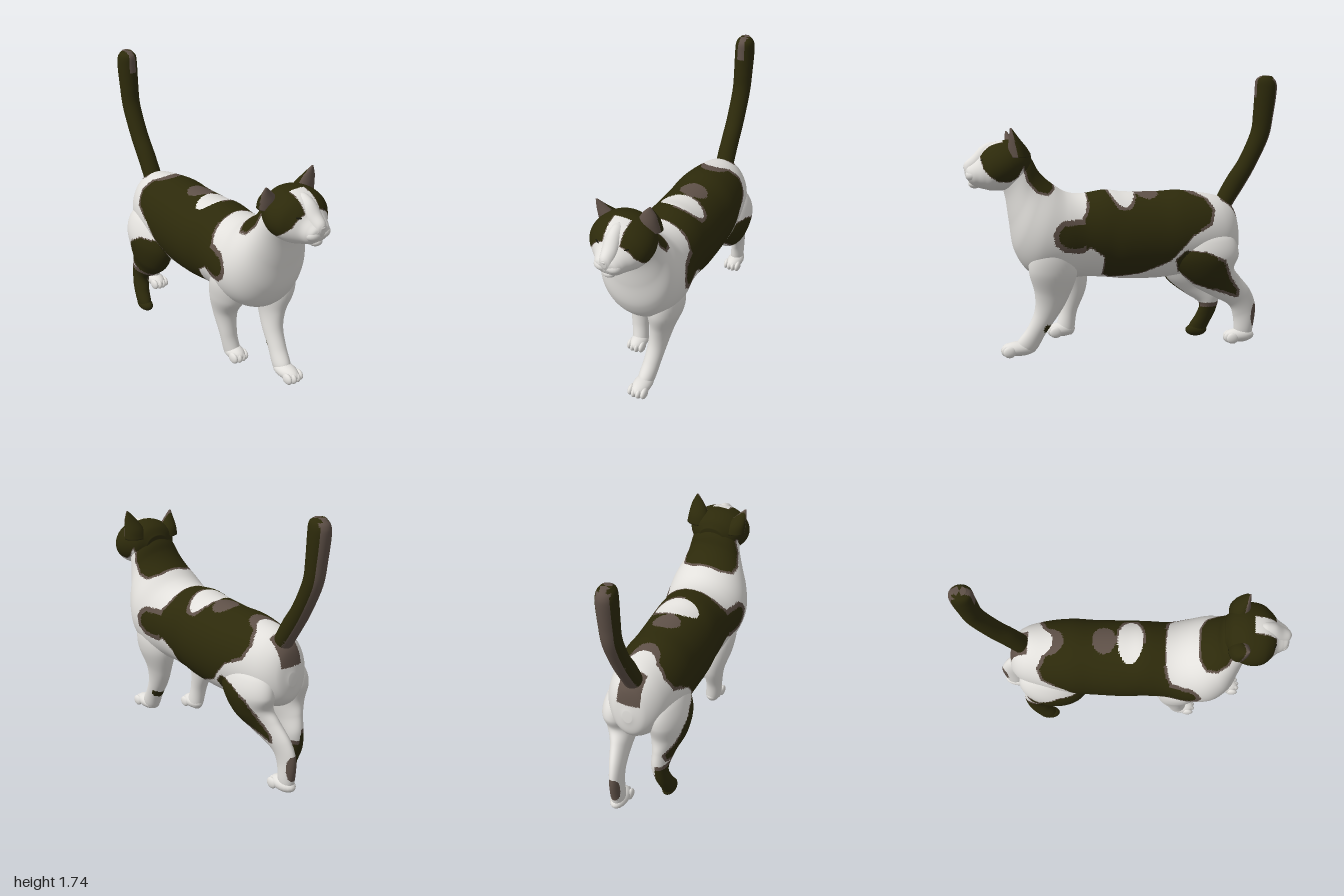
import * as THREE from 'three';

const WHITE = 0, BROWN = 1, DARK = 2;

// Fur patches as side outlines [z, y]
const saddle = [[.485, .8], [.465, .85], [.42, .885], [.3, .885], [.27, .93], [.25, 1.0], [.24, 1.12], [-.38, 1.12], [-.52, .98], [-.56, .91],
  [-.53, .82], [-.4, .76], [-.33, .68], [-.26, .6], [-.08, .52], [.11, .49], [.165, .52], [.165, .65], [.25, .71], [.3, .68], [.41, .69], [.47, .74]];
const leftThigh = [[-.29, .61], [-.35, .67], [-.48, .66], [-.61, .6], [-.67, .47], [-.735, .38], [-.73, .32], [-.61, .37], [-.42, .44], [-.32, .52]];
const rightThigh = [[-.22, .6], [-.3, .65], [-.43, .64], [-.54, .57], [-.6, .46], [-.66, .4], [-.64, .34], [-.52, .3], [-.38, .33], [-.24, .46]];
const mask = [[.885, 1.2], [.9, 1.27], [.9, 1.42], [.55, 1.45], [.62, 1.25], [.66, 1.19], [.68, 1.15], [.73, 1.12], [.8, 1.125], [.85, 1.16]];
const nape = [[.77, 1.42], [.6, 1.42], [.44, 1.14], [.45, 1.06], [.5, 1.03], [.57, 1.05], [.63, 1.12], [.65, 1.2], [.68, 1.27]];

// Signed distance to an outline, positive inside
function depth(poly, z, y) {
  let inside = false, best = Infinity;
  poly.forEach(([az, ay], i) => {
    const [bz, by] = poly[(i + 1) % poly.length];
    if ((ay > y) !== (by > y) && z < (bz - az) * (y - ay) / (by - ay) + az) inside = !inside;
    const t = THREE.MathUtils.clamp(((z - az) * (bz - az) + (y - ay) * (by - ay)) / ((bz - az) ** 2 + (by - ay) ** 2), 0, 1);
    best = Math.min(best, Math.hypot(az + t * (bz - az) - z, ay + t * (by - ay) - y));
  });
  return inside ? best : -best;
}
const rimmed = (d, rim) => d > rim ? DARK : d > 0 ? BROWN : WHITE;
const oval = (a, b, ca, cb, ra, rb) => Math.hypot((a - ca) / ra, (b - cb) / rb);

function coat(x, y, z) {
  if (z < -0.2 && y < 0.74 && Math.abs(x) > 0.13) {
    const c = rimmed(depth(x > 0 ? leftThigh : rightThigh, z, y), z < -0.55 ? 0.018 : 0.007);
    if (c) return c;
  }
  // rump below the tail
  if (z < -0.62 && y > 0.8 && Math.abs(x) < 0.075) return BROWN;
  if (y > 0.93) {
    // pale spot and brown marks along the spine
    const spot = oval(x, z, 0.02, 0.025, 0.145, 0.08);
    if (spot < 1) return WHITE;
    if ((spot < 1.18 && x > 0) || oval(x, z, 0.02, -0.14, 0.09, 0.075) < 1) return BROWN;
    if (z < -0.3 && oval(x, z, 0, -0.58, 0.1, 0.12) < 1) return WHITE;
    if (z < -0.3 && oval(x, z, 0, -0.5, 0.09, 0.11) < 1) return BROWN;
  }
  const rim = z > 0.28 ? 0.032 : z < -0.45 ? 0.02 : y > 0.85 && z > 0.1 && Math.abs(x) > 0.12 ? 0.018 : 0.007;
  return Math.max(rimmed(depth(saddle, z, y), rim), rimmed(depth(nape, z, y), 0.014));
}

function headCoat(x, y, z) {
  const blaze = y > 1.24 ? 0.053 : 0.053 + (1.24 - y) * 0.65;
  const d = Math.min(depth(mask, z, y), z < 0.76 && y > 1.25 ? 1 : Math.abs(x - 0.027) - blaze);
  return Math.max(rimmed(d, 0.004), rimmed(depth(nape, z, y), 0.01));
}

// Loft through sections [z1, y1, z2, y2, x, halfWidth], closed at both ends
function loft(sections, rings, sides) {
  const curve = f => new THREE.CatmullRomCurve3(sections.map(f), false, 'catmullrom', 0.5);
  const one = curve(s => new THREE.Vector3(0, s[1], s[0]));
  const two = curve(s => new THREE.Vector3(0, s[3], s[2]));
  const wide = curve(s => new THREE.Vector3(s[4], s[5], 0));
  const pos = [], index = [];
  for (let i = -1; i <= rings + 1; i++) {
    const t = THREE.MathUtils.clamp(i / rings, 0, 1), cap = i < 0 || i > rings ? 0 : 1;
    const a = one.getPoint(t), b = two.getPoint(t), w = wide.getPoint(t);
    for (let j = 0; j < sides; j++) {
      const q = j / sides * Math.PI * 2, s = Math.sin(q) * cap / 2;
      pos.push(w.x + Math.cos(q) * Math.max(w.y, 0.002) * cap, (a.y + b.y) / 2 + (a.y - b.y) * s, (a.z + b.z) / 2 + (a.z - b.z) * s);
    }
  }
  for (let i = 0; i < rings + 2; i++) for (let j = 0; j < sides; j++) {
    const k = (j + 1) % sides, p = i * sides, n = p + sides;
    if (i > 0) index.push(p + j, p + k, n + j);
    if (i < rings + 1) index.push(p + k, n + k, n + j);
  }
  const g = new THREE.BufferGeometry();
  g.setAttribute('position', new THREE.Float32BufferAttribute(pos, 3));
  g.setIndex(index);
  g.computeVertexNormals();
  return g;
}

// Sort faces into one material group per fur colour
function paint(g, rule) {
  const p = g.attributes.position, ix = g.index.array, lists = [[], [], []];
  for (let i = 0; i < ix.length; i += 3) {
    const f = [ix[i], ix[i + 1], ix[i + 2]];
    const mid = get => f.reduce((s, v) => s + get.call(p, v), 0) / 3;
    lists[rule(mid(p.getX), mid(p.getY), mid(p.getZ))].push(...f);
  }
  g.setIndex(lists.flat());
  let start = 0;
  lists.forEach((l, m) => { if (l.length) g.addGroup(start, l.length, m); start += l.length; });
  return g;
}

export function createModel() {
  const cat = new THREE.Group();
  cat.name = 'cat';
  const mat = (name, color) => { const m = new THREE.MeshStandardMaterial({ color }); m.name = name; return m; };
  const fur = [mat('white fur', 0xe2e0dc), mat('brown fur', 0x5f5148), mat('dark fur', 0x2d2a0b)];
  const eyeMat = mat('eye', 0x17160a);
  const add = (name, geo, material) => {
    const m = new THREE.Mesh(geo, material);
    m.name = name;
    cat.add(m);
    return m;
  };
  const part = (name, sections, rings, sides, rule) => add(name, paint(loft(sections, rings, sides), rule), fur);
  const ball = (name, x, y, z, rx, ry, rz, material) => {
    const m = add(name, new THREE.SphereGeometry(1, 20, 14), material);
    m.position.set(x, y, z);
    m.scale.set(rx, ry, rz);
    return m;
  };

  // Torso and neck, rump to nape
  part('body', [
    [-.75, .76, -.755, .68, 0, .03], [-.715, .9, -.735, .58, 0, .11], [-.63, .97, -.66, .52, 0, .175],
    [-.5, 1.0, -.51, .5, 0, .215], [-.35, 1.02, -.35, .475, 0, .235], [-.2, 1.015, -.2, .46, 0, .236],
    [0, 1.02, 0, .465, 0, .24], [.12, 1.035, .13, .48, 0, .235], [.27, 1.015, .27, .49, 0, .24],
    [.37, 1.03, .44, .48, 0, .265], [.45, 1.08, .6, .53, .003, .268], [.51, 1.13, .695, .67, .006, .235],
    [.55, 1.18, .725, .85, .01, .195], [.58, 1.24, .745, 1.0, .017, .168], [.64, 1.31, .77, 1.09, .022, .15]], 210, 140, coat);

  // Head and muzzle
  part('head', [
    [.59, 1.28, .6, 1.16, .025, .08], [.63, 1.335, .635, 1.1, .025, .145], [.7, 1.362, .705, 1.065, .025, .187],
    [.77, 1.358, .77, 1.055, .025, .197], [.83, 1.342, .83, 1.055, .025, .18], [.875, 1.31, .875, 1.065, .027, .142],
    [.91, 1.262, .91, 1.075, .03, .108], [.945, 1.232, .94, 1.085, .03, .088], [.975, 1.21, .965, 1.11, .03, .068],
    [.987, 1.19, .98, 1.14, .03, .035]], 100, 110, headCoat);
  // Brow and bridge of the nose
  part('noseBridge', [[.8, 1.352, .8, 1.2, .027, .05], [.84, 1.349, .84, 1.18, .027, .053], [.89, 1.325, .89, 1.16, .028, .052],
    [.94, 1.272, .94, 1.15, .03, .046], [.98, 1.238, .975, 1.14, .03, .036], [.995, 1.215, .99, 1.165, .03, .016]], 40, 28, () => WHITE);
  for (const s of [-1, 1]) {
    ball('whiskerPad', .03 + s * .034, 1.155, .942, .052, .038, .046, fur[WHITE]);
    ball('eye', .027 + s * .09, 1.25, .883, .026, .009, .012, eyeMat).rotation.set(0, s * .6, s * .2);
  }
  ball('nose', .03, 1.203, .98, .022, .014, .018, fur[WHITE]);
  ball('chin', .03, 1.1, .93, .042, .03, .04, fur[WHITE]);

  // Ears, brown inside and dark behind
  const earFur = (x, y, z) => z > 0.715 - (1.445 - y) * 0.2 ? BROWN : DARK;
  part('leftEar', [[.61, 1.27, .73, 1.27, .145, .08], [.63, 1.33, .735, 1.33, .152, .066],
    [.675, 1.39, .73, 1.39, .165, .042], [.715, 1.445, .725, 1.445, .177, .006]], 24, 32, earFur);
  part('rightEar', [[.61, 1.25, .73, 1.25, -.1, .075], [.63, 1.3, .735, 1.3, -.115, .061],
    [.675, 1.35, .73, 1.35, -.138, .036], [.715, 1.4, .725, 1.4, -.162, .006]], 24, 32, earFur);

  // Tail with a brown stripe along the rear
  const tail = [[-.68, .85, -.6, .9, 0, .06], [-.725, .93, -.61, .96, 0, .06], [-.79, 1.03, -.68, 1.09, 0, .058],
    [-.86, 1.15, -.76, 1.21, 0, .058], [-.95, 1.34, -.835, 1.38, 0, .058], [-.98, 1.49, -.85, 1.5, 0, .06],
    [-1.0, 1.64, -.857, 1.64, 0, .062], [-.995, 1.7, -.862, 1.71, 0, .055], [-.965, 1.738, -.892, 1.738, 0, .032]];
  const tailCurve = new THREE.CatmullRomCurve3(tail.map(s => new THREE.Vector3(0, s[1], s[0])));
  const rear = tailCurve.getPoints(120);
  part('tail', tail, 80, 32, (x, y, z) => {
    const near = Math.min(...rear.map(p => Math.hypot(p.y - y, p.z - z)));
    return (near < 0.02 && y < 1.72) || (y > 1.6 && Math.abs(x) < 0.02) ? BROWN : DARK;
  });

  // Legs: sections run downwards, front edge first
  const frontSpot = (x, y, z) => oval(z, y, .505, .185, .028, .03) < 1 ? DARK : WHITE;
  part('leftFrontLeg', [[.56, .84, .42, .82, .13, .07], [.61, .7, .35, .68, .14, .108], [.62, .56, .32, .55, .135, .108],
    [.585, .42, .375, .38, .115, .072], [.585, .3, .435, .27, .1, .06], [.63, .19, .51, .16, .09, .054],
    [.69, .105, .565, .06, .08, .052], [.7, .06, .6, .03, .08, .04]], 70, 40, frontSpot);
  part('rightFrontLeg', [[.47, .82, .33, .8, -.13, .07], [.5, .68, .25, .67, -.14, .108], [.48, .53, .215, .53, -.135, .1],
    [.4, .4, .225, .38, -.125, .072], [.395, .25, .285, .23, -.12, .055], [.42, .14, .305, .11, -.108, .05],
    [.43, .1, .32, .08, -.106, .04]], 60, 40, () => WHITE);
  const leftHind = (x, y, z) => {
    if (oval(z, y, -.865, .19, .04, .09) < 1) return BROWN;
    return y > .3 ? coat(x, y, z) : WHITE;
  };
  part('leftHindLeg', [[-.4, .8, -.6, .8, .11, .05], [-.32, .7, -.69, .72, .125, .1], [-.3, .59, -.722, .62, .135, .115],
    [-.4, .44, -.695, .53, .125, .095], [-.56, .34, -.74, .465, .1, .062], [-.68, .27, -.825, .36, .077, .046],
    [-.715, .19, -.865, .245, .066, .04], [-.725, .1, -.85, .1, .062, .043], [-.73, .04, -.835, .03, .062, .035]], 120, 64, leftHind);
  const rightHind = (x, y, z) => {
    const top = x < -.14 ? .29 : .21;
    return y < top ? DARK : y < top + .03 ? BROWN : coat(x, y, z);
  };
  part('rightHindLeg', [[-.38, .8, -.58, .8, -.11, .05], [-.28, .7, -.67, .72, -.135, .1], [-.25, .56, -.69, .62, -.152, .121],
    [-.32, .41, -.66, .5, -.155, .1], [-.44, .31, -.67, .41, -.148, .065], [-.545, .235, -.685, .3, -.145, .05],
    [-.53, .15, -.665, .18, -.162, .046], [-.49, .08, -.62, .08, -.174, .043], [-.475, .03, -.59, .02, -.174, .036]], 120, 64, rightHind);
  ball('rightHindPaw', -.174, .042, -.535, .043, .042, .073, fur[DARK]);

  // White paws with four toes each
  const paw = (name, x, y, back, front, w) => {
    const len = front - back;
    ball(name, x, y + .046, back + len * .47, w * .97, .046, len * .47, fur[WHITE]);
    for (let i = 0; i < 4; i++) {
      const o = i - 1.5;
      ball(name + 'Toe', x + o * w * .5, y + .035, front - .04 - Math.abs(o) * .01, w * .32, .035, .04, fur[WHITE]);
    }
  };
  paw('leftFrontPaw', .076, .012, .57, .8, .06);
  paw('rightFrontPaw', -.106, .07, .3, .485, .056);
  paw('leftHindPaw', .062, .012, -.86, -.65, .056);
  return cat;
}
